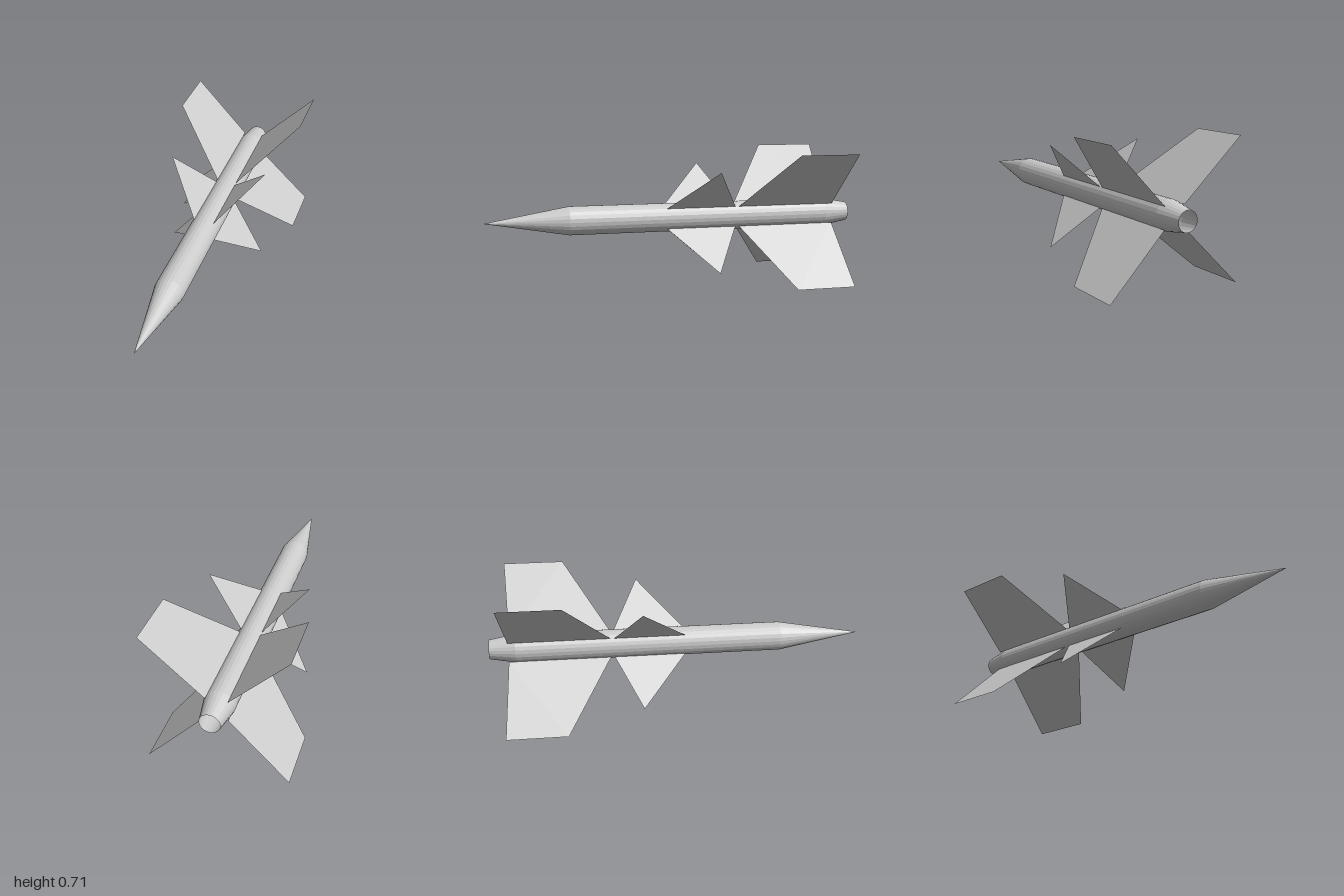
import * as THREE from 'three';

const AXIS_Y = 0.354;
const RADIUS = 0.077;

export function createModel() {
  const group = new THREE.Group();
  const material = new THREE.MeshStandardMaterial({
    color: 0xcccccc, flatShading: true, side: THREE.DoubleSide,
  });

  // Hollow body sections: [name, rear z, rear radius, front z, front radius]
  const sections = [
    ['tailCone', -1, 0.052, -0.86, RADIUS],
    ['bodyTube', -0.86, RADIUS, 0.56, RADIUS],
    ['noseCone', 0.56, RADIUS, 1, 0.001],
  ];
  for (const [name, z0, r0, z1, r1] of sections) {
    const geometry = new THREE.CylinderGeometry(r1, r0, z1 - z0, 24, 1, true);
    geometry.rotateX(Math.PI / 2);
    const mesh = new THREE.Mesh(geometry, material);
    mesh.name = name;
    mesh.position.set(0, AXIS_Y, (z0 + z1) / 2);
    group.add(mesh);
  }

  // Thin fin outlines: [distance from axis, z]
  const outlines = {
    forwardFin: [[RADIUS, 0.04], [0.375, -0.2], [RADIUS, -0.34]],
    tailFin: [[RADIUS, -0.36], [0.5, -0.6], [0.5, -0.92], [RADIUS, -0.9]],
  };
  for (const [name, points] of Object.entries(outlines)) {
    const shape = new THREE.Shape(points.map(([r, z]) => new THREE.Vector2(r, z)));
    const geometry = new THREE.ShapeGeometry(shape).rotateX(Math.PI / 2);
    // Four fins in a diagonal cross
    for (let i = 0; i < 4; i++) {
      const fin = new THREE.Mesh(geometry, material);
      fin.name = `${name}${i + 1}`;
      fin.position.y = AXIS_Y;
      fin.rotation.z = Math.PI / 4 + i * Math.PI / 2;
      group.add(fin);
    }
  }
  return group;
}
